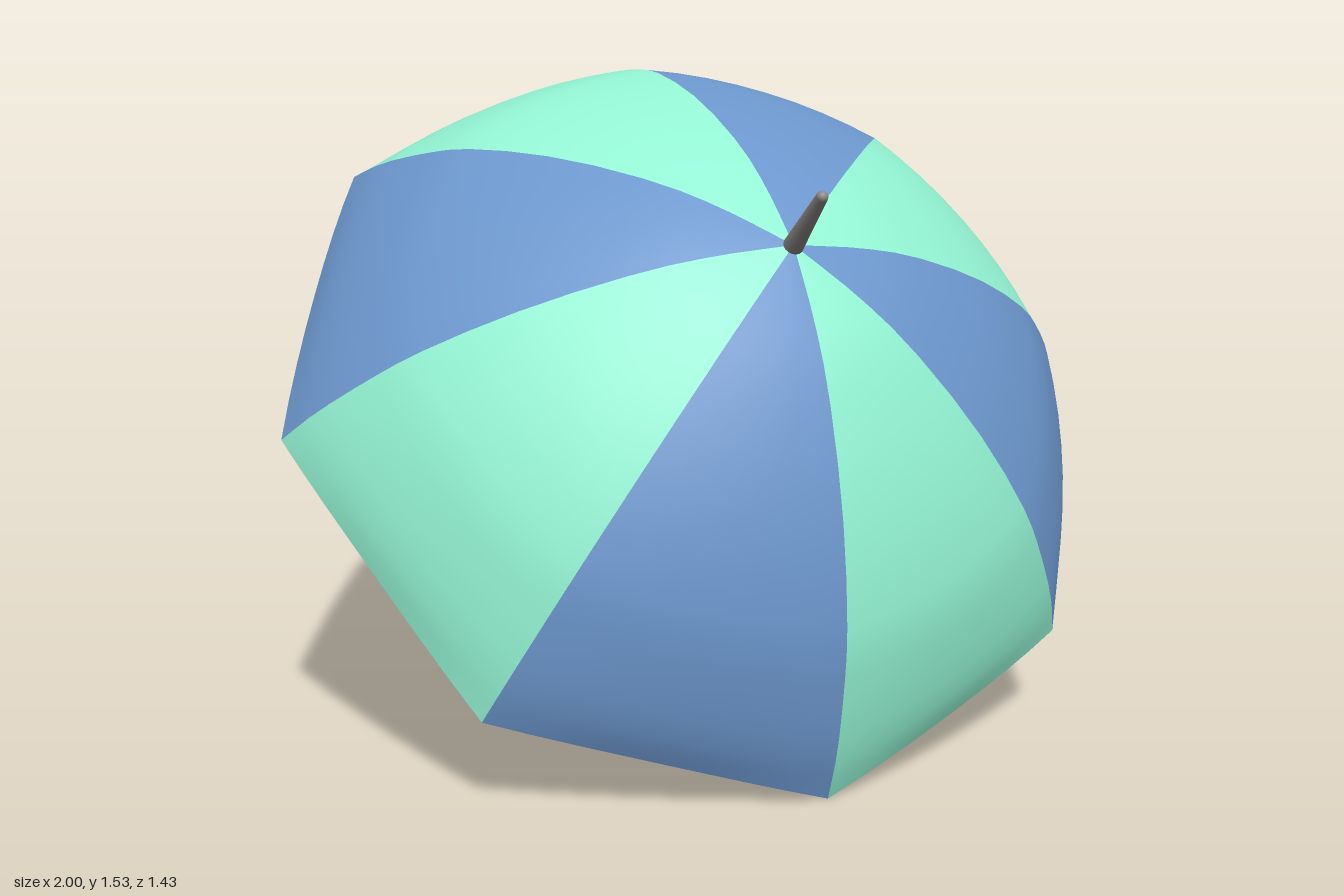
import * as THREE from 'three';

const PANELS = 8;
const STEP = (Math.PI * 2) / PANELS;

// Rib profile: radius from the shaft, height above the rim plane
const rib = new THREE.CatmullRomCurve3([
  [0, 0.643], [0.16, 0.62], [0.31, 0.579], [0.553, 0.462],
  [0.756, 0.317], [0.844, 0.225], [0.943, 0.099], [1, 0],
].map(([r, h]) => new THREE.Vector3(r, h, 0)));

// One cloth panel between two ribs, pulled inwards at its middle
function panelGeometry(index) {
  const geo = new THREE.PlaneGeometry(1, 1, 8, 16);
  const pos = geo.attributes.position;
  for (let i = 0; i < pos.count; i++) {
    const u = pos.getX(i) + 0.5;
    const t = 0.5 - pos.getY(i);
    const p = rib.getPoint(t);
    const sag = 4 * u * (1 - u);
    const r = p.x * (1 - sag * (0.033 * t + 0.029 * t ** 6));
    const h = p.y + sag * 0.022 * t ** 8;
    const a = (index + u) * STEP;
    pos.setXYZ(i, r * Math.sin(a), h, r * Math.cos(a));
  }
  geo.computeVertexNormals();
  return geo;
}

export function createModel() {
  const green = new THREE.MeshStandardMaterial({ color: 0x93f3d3, side: THREE.DoubleSide });
  const blue = new THREE.MeshStandardMaterial({ color: 0x6c97cd, side: THREE.DoubleSide });
  const metal = new THREE.MeshStandardMaterial({ color: 0x8c8886 });
  const wood = new THREE.MeshStandardMaterial({ color: 0x736a62 });

  const model = new THREE.Group();
  model.name = 'umbrella';
  const tilted = new THREE.Group();
  tilted.name = 'tiltedUmbrella';
  tilted.position.set(0, 0.755, -0.025);
  tilted.rotation.x = Math.atan2(0.745, 0.665);
  model.add(tilted);

  const add = (name, geo, mat, parent = tilted) => {
    const mesh = new THREE.Mesh(geo, mat);
    mesh.name = name;
    parent.add(mesh);
    return mesh;
  };
  // Round rod along the shaft between two heights
  const rod = (name, y0, y1, r0, r1, mat) => {
    const mesh = add(name, new THREE.CylinderGeometry(r1, r0, y1 - y0, 16), mat);
    mesh.position.y = (y0 + y1) / 2;
  };

  // Canopy of alternating panels
  const canopy = new THREE.Group();
  canopy.name = 'canopy';
  tilted.add(canopy);
  for (let k = 0; k < PANELS; k++) {
    add('canopyPanel', panelGeometry(k), k % 2 ? blue : green, canopy);
  }

  // Shaft and tapered tip
  rod('shaft', -0.71, 0.645, 0.015, 0.015, metal);
  rod('tip', 0.63, 0.81, 0.023, 0.013, metal);
  const tipEnd = add('tipEnd', new THREE.SphereGeometry(0.013, 16, 10), metal);
  tipEnd.position.y = 0.81;

  // Small catch on the shaft
  const catchBlock = add('catch', new THREE.BoxGeometry(0.014, 0.035, 0.02), metal);
  catchBlock.position.set(0, -0.645, 0.017);

  // Handle: straight grip, half-circle hook and rounded end
  rod('grip', -0.85, -0.695, 0.024, 0.022, wood);
  const hookPoints = [];
  for (let i = 0; i <= 12; i++) {
    const a = (Math.PI * i) / 12;
    hookPoints.push(new THREE.Vector3(0, -0.85 - 0.09 * Math.sin(a), 0.09 - 0.09 * Math.cos(a)));
  }
  add('hook', new THREE.TubeGeometry(new THREE.CatmullRomCurve3(hookPoints), 32, 0.024, 16), wood);
  const hookEnd = add('hookEnd', new THREE.SphereGeometry(0.024, 16, 12), wood);
  hookEnd.position.set(0, -0.85, 0.18);
  hookEnd.scale.y = 0.6;

  return model;
}
